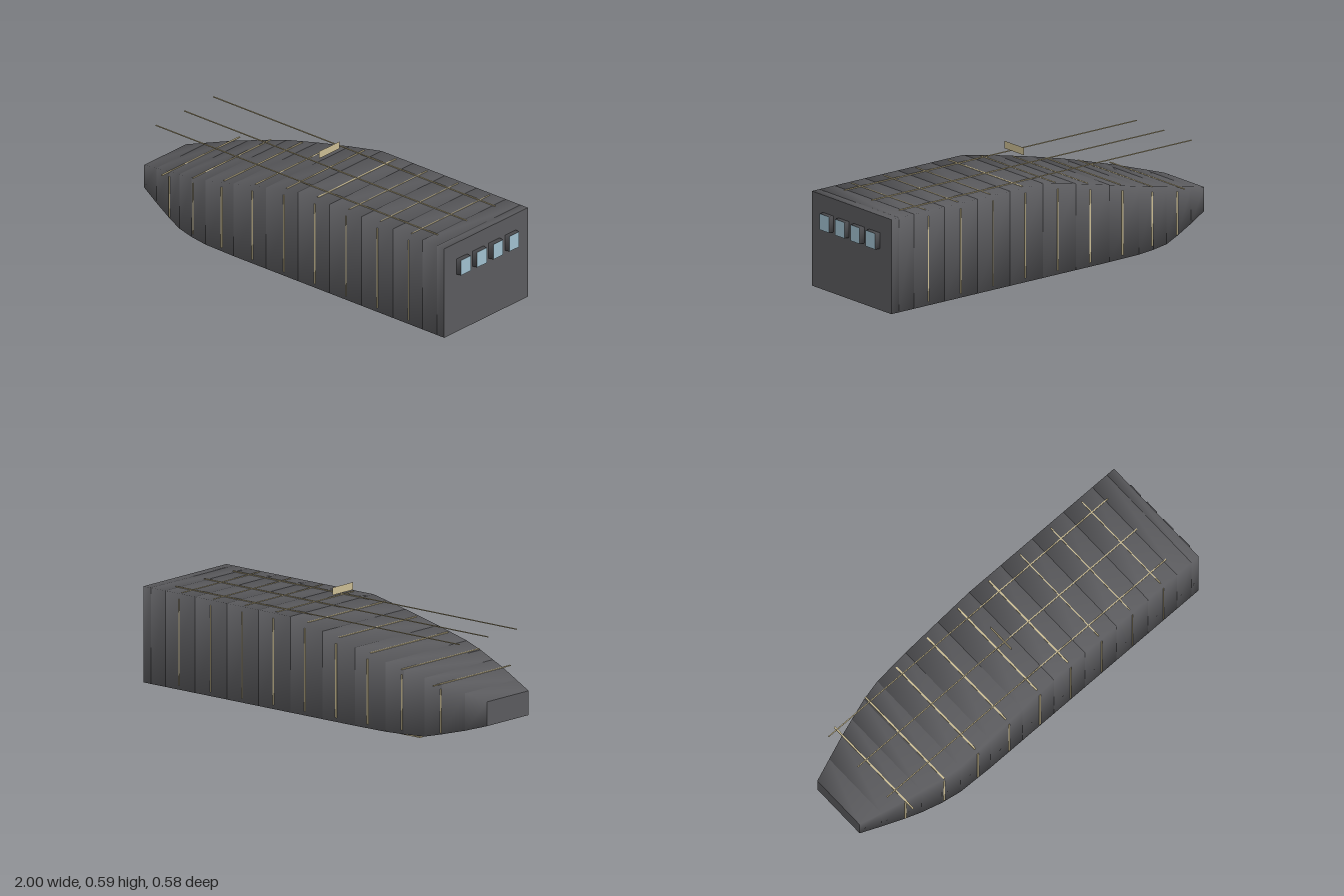
import * as THREE from 'three';

// Linear interpolation through [x, value] points
function sample(points, x) {
  for (let i = 1; i < points.length; i++) {
    const [x0, v0] = points[i - 1], [x1, v1] = points[i];
    if (x <= x1) return v0 + (v1 - v0) * Math.max(0, (x - x0) / (x1 - x0));
  }
  return points[points.length - 1][1];
}

const topLine = [[-1, 0.225], [-0.78, 0.288], [-0.4, 0.383], [-0.1, 0.45], [0.075, 0.485]];
const bottomLine = [[-1, 0.11], [-0.895, 0.078], [-0.785, 0.05], [-0.78, 0.035], [-0.7, 0.03]];
const halfWidth = [[-1, 0.145], [-0.785, 0.215], [-0.6, 0.267], [-0.47, 0.29]];

// Open four-sided tube between two rectangles, with soft corner normals
function tubeSegment(a, b) {
  const pos = [], index = [];
  for (const r of [a, b]) {
    pos.push(r.x, r.y0, r.z1, r.x, r.y1, r.z1, r.x, r.y1, r.z0, r.x, r.y0, r.z0);
  }
  for (let i = 0; i < 4; i++) {
    const j = (i + 1) % 4;
    index.push(i, i + 4, j + 4, i, j + 4, j);
  }
  const g = new THREE.BufferGeometry();
  g.setAttribute('position', new THREE.Float32BufferAttribute(pos, 3));
  g.setIndex(index);
  g.computeVertexNormals();
  return g;
}

export function createModel() {
  const model = new THREE.Group();
  model.name = 'hullModel';
  const mat = (name, color, side = THREE.FrontSide) => {
    const m = new THREE.MeshStandardMaterial({ color, side });
    m.name = name;
    return m;
  };
  const hullGrey = mat('hullGrey', 0x5a5a5d, THREE.DoubleSide);
  const trimGold = mat('trimGold', 0xc9bb92, THREE.DoubleSide);
  const glassBlue = mat('glassBlue', 0x9fbfce);
  const frameDark = mat('frameDark', 0x4a4a4d, THREE.DoubleSide);

  const add = (name, geometry, material, x = 0, y = 0, z = 0) => {
    const m = new THREE.Mesh(geometry, material);
    m.name = name;
    m.position.set(x, y, z);
    model.add(m);
    return m;
  };
  const box = (name, material, w, h, d, x, y, z) =>
    add(name, new THREE.BoxGeometry(w, h, d), material, x, y, z);

  // Hull bands
  const section = (x) => {
    const w = sample(halfWidth, x);
    return { x, y0: sample(bottomLine, x), y1: sample(topLine, x), z0: -w, z1: w };
  };
  const stations = [-1, -0.895, -0.785, -0.7, -0.6, -0.5, -0.32, -0.12, 0.075, 0.27, 0.465, 0.66, 0.84, 0.93, 0.975];
  for (let i = 1; i < stations.length; i++) {
    add('hullBand', tubeSegment(section(stations[i - 1]), section(stations[i])), hullGrey);
  }

  // Flat end walls
  for (const [name, x, turn] of [['noseWall', -1, -1], ['sternWall', 0.975, 1]]) {
    const s = section(x);
    add(name, new THREE.PlaneGeometry(2 * s.z1, s.y1 - s.y0), hullGrey, x, (s.y0 + s.y1) / 2, 0)
      .rotation.y = turn * Math.PI / 2;
  }

  // Rib strips on the sides and across the roof
  for (let i = 0; i < 9; i++) {
    const x = -0.78 + i * 0.192;
    const s = section(x);
    const thick = i < 6 ? 0.008 : 0.005;
    const low = s.y0 + 0.02, high = s.y1 - 0.025;
    for (const side of [-1, 1]) {
      box('sideRib', trimGold, thick, high - low, 0.004, x, (low + high) / 2, side * s.z1);
    }
    box('roofRib', trimGold, thick, 0.004, 0.54, x, s.y1, 0);
  }

  // Long rods above the roof
  for (const z of [-0.2, 0, 0.2]) {
    box('roofRod', trimGold, 1.735, 0.004, 0.005, -0.0125, 0.487, z);
  }

  // Runners below the floor
  for (const z of [-0.168, 0, 0.168]) {
    box('floorRunner', trimGold, 1.335, 0.006, 0.024, 0.0475, 0.003, z);
  }

  // Upright sign plate over the roof
  add('roofPlate', new THREE.PlaneGeometry(0.142, 0.036), trimGold, 0.01, 0.574, 0)
    .rotation.y = Math.PI / 2;

  // Stern windows: tapered dark surrounds with glass at the end
  for (const z of [-0.168, -0.056, 0.056, 0.168]) {
    const rect = (x, half) => ({ x, y0: 0.325, y1: 0.402, z0: z - half, z1: z + half });
    add('windowSurround', tubeSegment(rect(0.974, 0.038), rect(1, 0.034)), frameDark);
    add('windowGlass', new THREE.PlaneGeometry(0.068, 0.077), glassBlue, 1, 0.3635, z)
      .rotation.y = Math.PI / 2;
  }
  return model;
}
